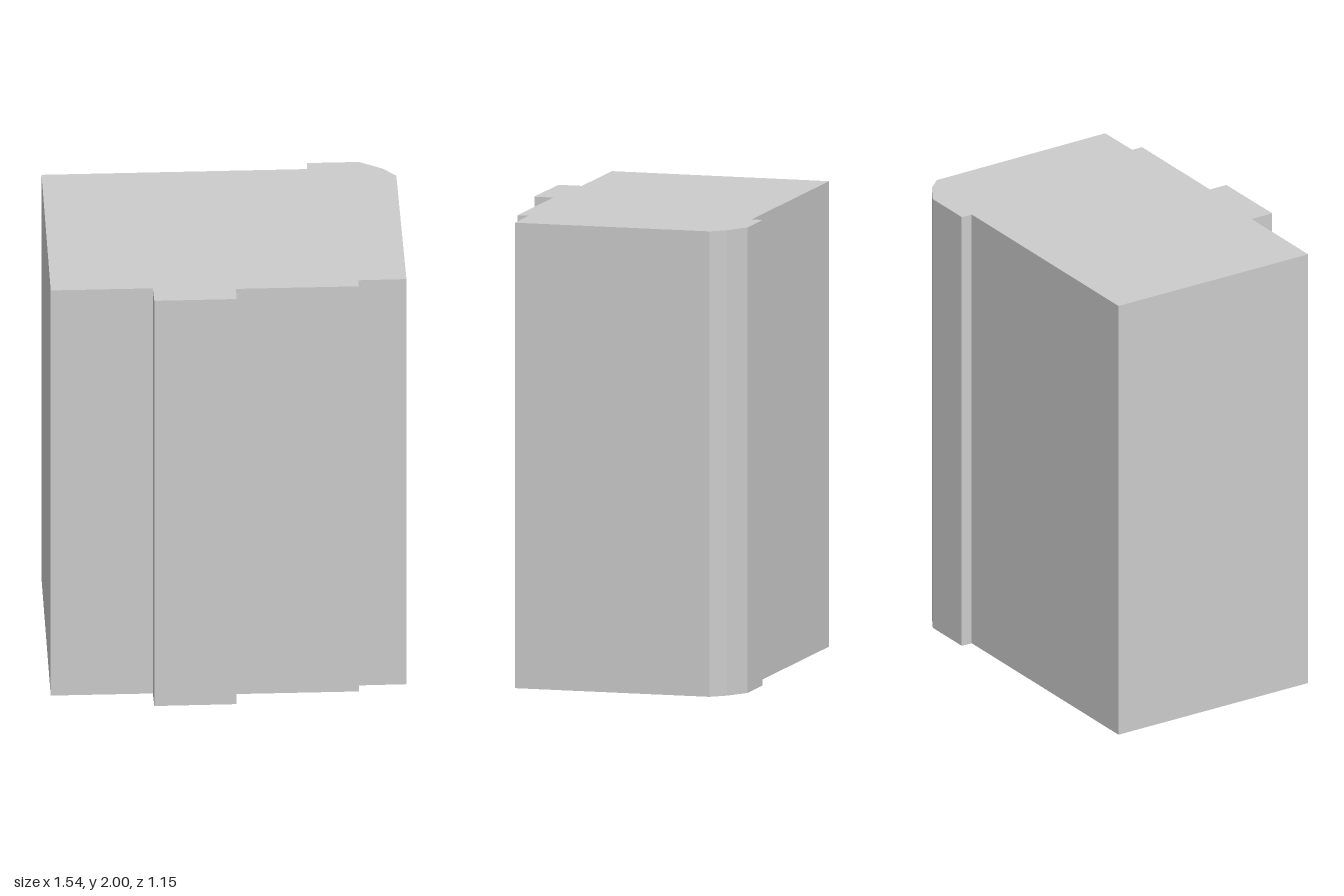
import * as THREE from 'three';

const HEIGHT = 2;

// Footprint corners as [x, z], starting at the back right corner
const footprint = [
  [-0.77, -0.485], [0.358, -0.52], [0.358, -0.57], [0.58, -0.577], // back, with its shallow step
  [0.68, -0.52], [0.737, -0.46],                                   // chamfered back left corner
  [0.77, 0.402], [0.565, 0.41], [0.567, 0.46],                     // left side and front recess
  [0.045, 0.476], [0.047, 0.56], [-0.303, 0.572], [-0.308, 0.467], // projecting front bay
  [-0.742, 0.48],
];

// One flat, separately shaded panel per footprint edge
function wallGeometry(points, height) {
  const positions = [];
  points.forEach(([ax, az], i) => {
    const [bx, bz] = points[(i + 1) % points.length];
    positions.push(
      ax, 0, az, ax, height, az, bx, height, bz,
      ax, 0, az, bx, height, bz, bx, 0, bz,
    );
  });
  const geometry = new THREE.BufferGeometry();
  geometry.setAttribute('position', new THREE.Float32BufferAttribute(positions, 3));
  geometry.computeVertexNormals();
  return geometry;
}

export function createModel() {
  const group = new THREE.Group();
  group.name = 'building';
  const material = new THREE.MeshStandardMaterial({
    color: 0xcccccc, flatShading: true, side: THREE.DoubleSide,
  });

  // Outer walls, open at the bottom
  const walls = new THREE.Mesh(wallGeometry(footprint, HEIGHT), material);
  walls.name = 'walls';
  group.add(walls);

  // Flat roof
  const outline = new THREE.Shape(footprint.map(([x, z]) => new THREE.Vector2(x, -z)));
  const roofGeometry = new THREE.ShapeGeometry(outline);
  roofGeometry.rotateX(-Math.PI / 2).translate(0, HEIGHT, 0);
  const roof = new THREE.Mesh(roofGeometry, material);
  roof.name = 'roof';
  group.add(roof);

  return group;
}
